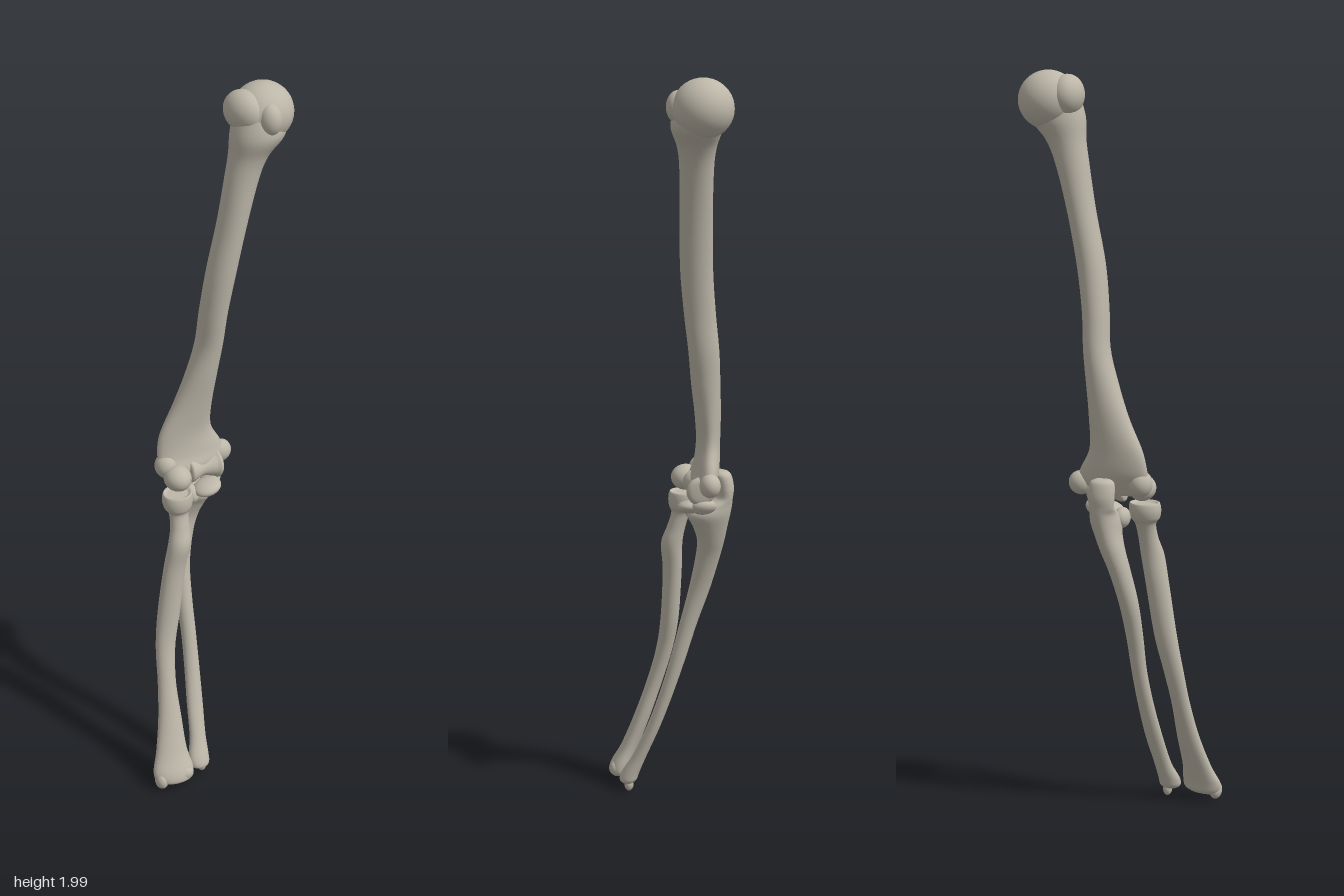
import * as THREE from 'three';

const bone = new THREE.MeshStandardMaterial({ color: 0xbdb7a9 });
bone.name = 'bone';

// Smooth closed loft through elliptical sections [x, y, z, radiusX, radiusZ, yaw], listed top to bottom
function loft(name, sections, perSpan = 6, sides = 28) {
  const point = (v, t) => {
    const n = sections.length - 1;
    const i = Math.min(Math.floor(t * n), n - 1), f = t * n - i;
    const s = (k) => sections[Math.max(0, Math.min(n, k))][v] || 0;
    const m0 = (s(i + 1) - s(i - 1)) / 2, m1 = (s(i + 2) - s(i)) / 2, d = s(i + 1) - s(i);
    return s(i) + f * m0 + f * f * (3 * d - 2 * m0 - m1) + f * f * f * (m0 + m1 - 2 * d);
  };
  const rows = (sections.length - 1) * perSpan;
  const pos = [], index = [];
  for (let r = 0; r <= rows; r++) {
    const [x, y, z, rx, rz, yaw] = [0, 1, 2, 3, 4, 5].map((v) => point(v, r / rows));
    for (let k = 0; k < sides; k++) {
      const a = (k / sides) * Math.PI * 2;
      const u = Math.cos(a) * Math.max(rx, 0.001), w = Math.sin(a) * Math.max(rz, 0.001);
      pos.push(x + u * Math.cos(yaw) - w * Math.sin(yaw), y, z + u * Math.sin(yaw) + w * Math.cos(yaw));
    }
  }
  for (let r = 0; r < rows; r++) {
    for (let k = 0; k < sides; k++) {
      const a = r * sides + k, b = r * sides + ((k + 1) % sides), c = a + sides, d = b + sides;
      index.push(a, b, c, b, d, c);
    }
  }
  // End caps
  const last = rows * sides;
  for (let k = 1; k < sides - 1; k++) {
    index.push(0, k + 1, k, last, last + k, last + k + 1);
  }
  const g = new THREE.BufferGeometry();
  g.setAttribute('position', new THREE.Float32BufferAttribute(pos, 3));
  g.setIndex(index);
  g.computeVertexNormals();
  return named(name, g);
}

function named(name, geometry) {
  const m = new THREE.Mesh(geometry, bone);
  m.name = name;
  return m;
}

function knob(name, x, y, z, rx, ry, rz, yaw = 0, roll = 0) {
  const m = named(name, new THREE.SphereGeometry(1, 32, 20));
  m.position.set(x, y, z);
  m.scale.set(rx, ry, rz);
  m.rotation.set(0, yaw, roll);
  return m;
}

function group(name, ...parts) {
  const g = new THREE.Group();
  g.name = name;
  g.add(...parts);
  return g;
}

function upperArm() {
  const shaft = loft('upperArmShaft', [
    [0.155, 1.95, -0.03, 0.05, 0.05],
    [0.16, 1.88, -0.025, 0.074, 0.066],
    [0.136, 1.82, -0.03, 0.054, 0.05],
    [0.118, 1.76, -0.033, 0.045, 0.044],
    [0.092, 1.64, -0.037, 0.038, 0.043],
    [0.063, 1.5, -0.044, 0.038, 0.043],
    [0.047, 1.38, -0.056, 0.036, 0.042],
    [0.04, 1.28, -0.068, 0.036, 0.041],
    [0.022, 1.19, -0.077, 0.044, 0.039, 0.1],
    [0, 1.1, -0.087, 0.057, 0.035, 0.12],
    [-0.02, 1.02, -0.092, 0.075, 0.032, 0.12],
    [-0.012, 0.96, -0.086, 0.095, 0.034, 0.08],
    [-0.008, 0.925, -0.075, 0.098, 0.034],
    [-0.01, 0.895, -0.068, 0.075, 0.024],
  ]);
  // Spool-shaped elbow joint, turned around x
  const spool = named('elbowSpool', new THREE.LatheGeometry(
    new THREE.SplineCurve([[0.001, -0.05], [0.03, -0.048], [0.034, -0.035], [0.025, -0.005], [0.034, 0.03], [0.04, 0.042], [0.03, 0.052], [0.001, 0.054]]
      .map(([r, y]) => new THREE.Vector2(r, y))).getPoints(32), 32));
  spool.rotation.z = -Math.PI / 2 - 0.08;
  spool.position.set(0.012, 0.905, -0.06);
  return group('upperArmBone', shaft, spool,
    knob('shoulderBall', 0.181, 1.921, -0.037, 0.079, 0.077, 0.079),
    knob('greaterTubercle', 0.13, 1.932, -0.04, 0.047, 0.056, 0.062, 0.2, 0.15),
    knob('lesserTubercle', 0.163, 1.925, 0.022, 0.03, 0.042, 0.032),
    knob('innerKnob', 0.082, 0.922, -0.078, 0.033, 0.032, 0.028, 0, 0.5),
    knob('outerKnob', -0.085, 0.93, -0.085, 0.032, 0.036, 0.033),
    knob('outerJointBall', -0.077, 0.91, -0.042, 0.037, 0.035, 0.04));
}

function radius() {
  const shaft = loft('radiusShaft', [
    [-0.082, 0.865, -0.036, 0.03, 0.026],
    [-0.082, 0.87, -0.036, 0.04, 0.036],
    [-0.083, 0.85, -0.035, 0.043, 0.039],
    [-0.083, 0.828, -0.033, 0.039, 0.035],
    [-0.083, 0.81, -0.03, 0.028, 0.026],
    [-0.087, 0.77, -0.018, 0.027, 0.025],
    [-0.096, 0.72, -0.007, 0.032, 0.029],
    [-0.111, 0.64, -0.011, 0.032, 0.026],
    [-0.133, 0.5, -0.008, 0.032, 0.025, 0.2],
    [-0.152, 0.4, 0.004, 0.028, 0.023, 0.2],
    [-0.166, 0.3, 0.03, 0.026, 0.022, 0.2],
    [-0.178, 0.2, 0.062, 0.033, 0.023, 0.25],
    [-0.194, 0.11, 0.094, 0.044, 0.025, 0.3],
    [-0.202, 0.06, 0.115, 0.057, 0.031, 0.3],
    [-0.203, 0.035, 0.121, 0.055, 0.032, 0.3],
    [-0.205, 0.024, 0.122, 0.042, 0.022, 0.3],
  ]);
  return group('radiusBone', shaft,
    knob('radiusTip', -0.242, 0.034, 0.117, 0.018, 0.026, 0.022),
    knob('radiusBackRidge', -0.175, 0.045, 0.138, 0.024, 0.022, 0.018));
}

function ulna() {
  const shaft = loft('ulnaShaft', [
    [0.008, 0.945, -0.122, 0.018, 0.012],
    [0.008, 0.935, -0.125, 0.033, 0.024],
    [0.008, 0.9, -0.132, 0.036, 0.025],
    [0.008, 0.87, -0.13, 0.034, 0.024],
    [0.01, 0.85, -0.105, 0.036, 0.047],
    [0.008, 0.825, -0.09, 0.04, 0.058],
    [0, 0.79, -0.095, 0.036, 0.047],
    [-0.014, 0.745, -0.099, 0.033, 0.037],
    [-0.031, 0.69, -0.093, 0.029, 0.033],
    [-0.05, 0.6, -0.075, 0.026, 0.029],
    [-0.058, 0.5, -0.046, 0.023, 0.024],
    [-0.062, 0.4, -0.018, 0.021, 0.021],
    [-0.071, 0.3, 0.012, 0.022, 0.019],
    [-0.084, 0.2, 0.046, 0.024, 0.018],
    [-0.099, 0.11, 0.083, 0.024, 0.019],
    [-0.111, 0.06, 0.106, 0.03, 0.024],
    [-0.113, 0.037, 0.114, 0.029, 0.024],
    [-0.112, 0.027, 0.117, 0.018, 0.014],
  ]);
  return group('ulnaBone', shaft,
    knob('ulnaFrontLip', 0.015, 0.85, -0.038, 0.04, 0.018, 0.036, 0, 0.22),
    knob('ulnaInnerLip', 0.042, 0.855, -0.068, 0.03, 0.02, 0.035, 0, 0.5),
    knob('ulnaSideNotch', -0.027, 0.83, -0.06, 0.022, 0.028, 0.03),
    knob('ulnaTip', -0.105, 0.024, 0.113, 0.013, 0.02, 0.013));
}

export function createModel() {
  return group('armBones', upperArm(), radius(), ulna());
}
